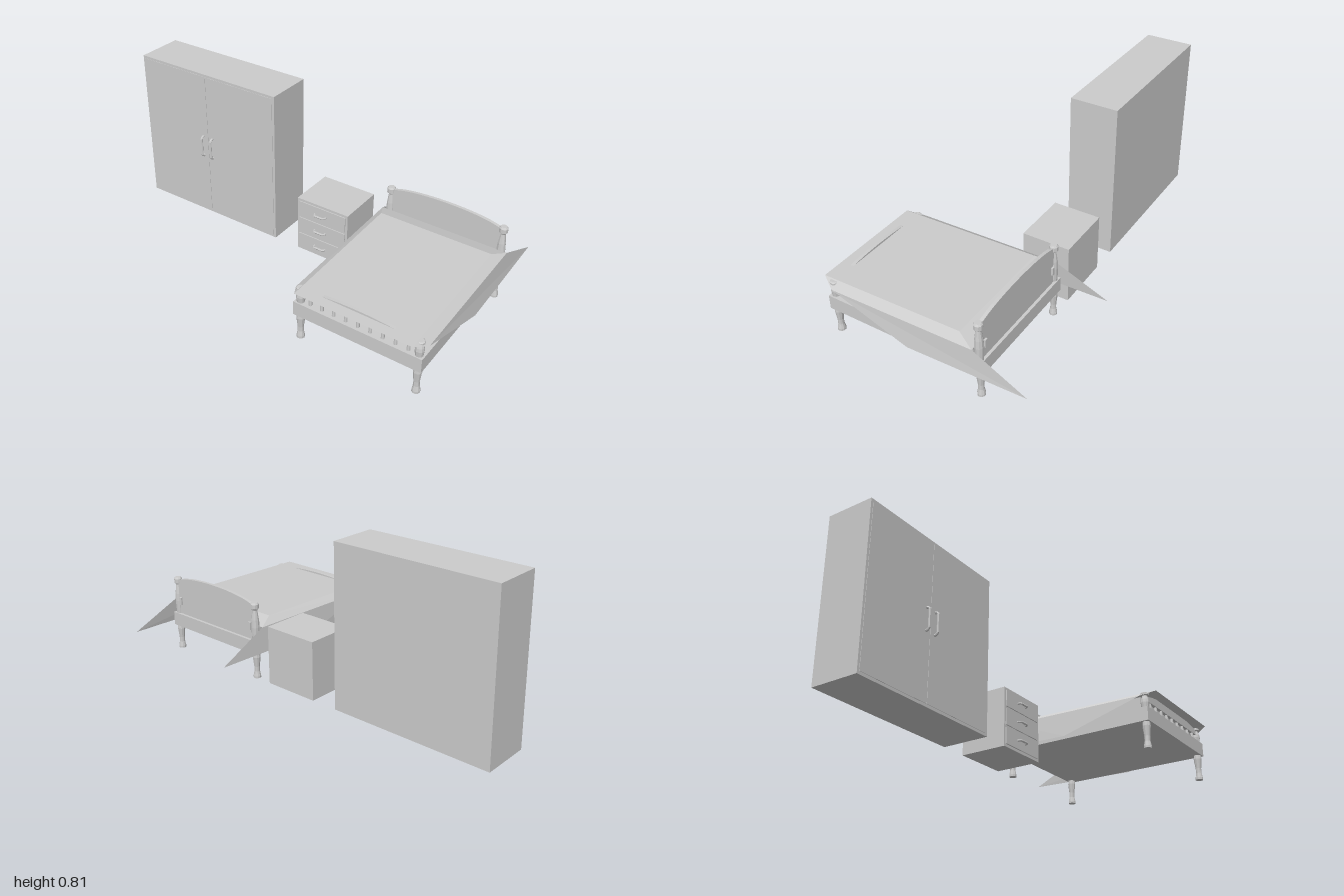
import * as THREE from 'three';

const material = new THREE.MeshStandardMaterial({ color: 0xcccccc, flatShading: true });
const cloth = new THREE.MeshStandardMaterial({ color: 0xcccccc, flatShading: true, side: THREE.DoubleSide });

function add(parent, name, geometry, x = 0, y = 0, z = 0, mat = material) {
  const mesh = new THREE.Mesh(geometry, mat);
  mesh.name = name;
  mesh.position.set(x, y, z);
  parent.add(mesh);
  return mesh;
}

// Box given by its minimum and maximum corners
function box(parent, name, [x0, y0, z0], [x1, y1, z1]) {
  return add(parent, name, new THREE.BoxGeometry(x1 - x0, y1 - y0, z1 - z0),
    (x0 + x1) / 2, (y0 + y1) / 2, (z0 + z1) / 2);
}

function group(parent, name) {
  const g = new THREE.Group();
  g.name = name;
  parent.add(g);
  return g;
}

// Bow handle standing out towards -x, with bevelled corners
function handle(parent, name, length, reach, radius, x, y, z, vertical) {
  const h = length / 2 - radius, c = reach * 0.45;
  const pts = [[0, -h], [-reach + c, -h], [-reach, -h + c], [-reach, h - c], [-reach + c, h], [0, h]];
  const path = new THREE.CurvePath();
  const v = pts.map(([px, s]) => new THREE.Vector3(px, vertical ? s : 0, vertical ? 0 : s));
  for (let i = 0; i < v.length - 1; i++) path.add(new THREE.LineCurve3(v[i], v[i + 1]));
  add(parent, name, new THREE.TubeGeometry(path, 40, radius, 6), x, y, z);
}

// Board in the y-z plane with an arched top edge
function archedBoard(halfWidth, bottom, edge, top, thickness) {
  const s = new THREE.Shape();
  s.moveTo(-halfWidth, bottom);
  s.lineTo(halfWidth, bottom);
  s.lineTo(halfWidth, edge);
  s.bezierCurveTo(halfWidth * 0.6, top + 0.002, -halfWidth * 0.6, top + 0.002, -halfWidth, edge);
  s.closePath();
  const g = new THREE.ExtrudeGeometry(s, { depth: thickness, bevelEnabled: false, curveSegments: 14 });
  g.translate(0, 0, -thickness / 2);
  return g.rotateY(-Math.PI / 2);
}

// Turned post: the leg is shared, the upper part scales to the given height
function post(height) {
  const t = (f) => 0.2 + (height - 0.2) * f;
  const profile = [
    [0, 0], [0.019, 0], [0.019, 0.01], [0.014, 0.035], [0.014, 0.06], [0.02, 0.11], [0.018, 0.13],
    [0.018, 0.2], [0.021, t(0.35)], [0.019, t(0.55)], [0.012, t(0.8)], [0.015, t(0.83)],
    [0.021, t(0.85)], [0.021, t(0.96)], [0.015, height], [0, height],
  ];
  return new THREE.LatheGeometry(profile.map(([r, y]) => new THREE.Vector2(r, y)), 10);
}

function blanketGeometry() {
  // Half outline at +z, mirrored to -z
  const half = [
    [-0.54, 0.28, 0.285], [0.18, 0.297, 0.285],                        // top edge: foot, head
    [-0.47, 0.255, 0.325], [0.265, 0.27, 0.325],                       // fold: foot, head
    [0.53, 0.15, 0.335], [-0.06, 0.135, 0.34],                         // hem of the hanging flap
  ];
  const pts = [...half, ...half.map(([x, y, z]) => [x, y, -z])];
  const quads = [[0, 1, 7, 6], [1, 3, 9, 7], [0, 2, 3, 1], [2, 5, 4, 3]];
  quads.push([8, 6, 7, 9], [11, 8, 9, 10]);
  const pos = [];
  for (const [a, b, c, d] of quads) for (const i of [a, b, c, a, c, d]) pos.push(...pts[i]);
  const g = new THREE.BufferGeometry();
  g.setAttribute('position', new THREE.Float32BufferAttribute(pos, 3));
  g.computeVertexNormals();
  return g;
}

function buildBed(parent) {
  const bed = group(parent, 'bed');
  bed.position.z = 0.655;
  const footX = -0.482, headX = 0.278;

  // Frame and mattress
  box(bed, 'bedFrame', [-0.505, 0.13, -0.315], [0.3, 0.2, 0.315]);
  box(bed, 'mattress', [-0.455, 0.2, -0.28], [0.24, 0.268, 0.28]);

  // Turned corner posts
  for (const s of [-1, 1]) {
    add(bed, 'headPost', post(0.395), headX, 0, s * 0.29);
    add(bed, 'footPost', post(0.278), footX, 0, s * 0.29);
    box(bed, 'headboardBracket', [0.272, 0.25, s * 0.262 - 0.008], [0.295, 0.29, s * 0.262 + 0.008]);
  }

  // Headboard, and footboard with spindles under an arched rail
  add(bed, 'headboard', archedBoard(0.28, 0.19, 0.382, 0.425, 0.016), headX);
  add(bed, 'footRail', archedBoard(0.28, 0.24, 0.26, 0.299, 0.016), footX);
  for (let i = 0; i < 9; i++) {
    add(bed, 'spindle', new THREE.CylinderGeometry(0.007, 0.009, 0.06, 8), footX, 0.22, -0.24 + i * 0.06);
  }

  // Blanket hanging over both sides
  add(bed, 'blanket', blanketGeometry(), 0, 0, 0, cloth);
}

function buildNightstand(parent) {
  const stand = group(parent, 'nightstand');
  box(stand, 'nightstandBody', [0.054, 0.005, -0.03], [0.295, 0.302, 0.26]);
  for (let i = 0; i < 3; i++) {
    const y = 0.06 + i * 0.094;
    box(stand, 'drawerFront', [0.049, y - 0.041, -0.018], [0.06, y + 0.041, 0.248]);
    handle(stand, 'drawerHandle', 0.072, 0.017, 0.005, 0.05, y, 0.107, false);
  }
}

function buildWardrobe(parent) {
  const wardrobe = group(parent, 'wardrobe');
  const mid = -0.59;
  box(wardrobe, 'wardrobeBody', [0.052, 0.006, -1], [0.295, 0.81, -0.167]);
  box(wardrobe, 'wardrobeDoor', [0.05, 0.02, -0.988], [0.06, 0.797, mid - 0.001]);
  box(wardrobe, 'wardrobeDoor', [0.05, 0.02, mid + 0.001], [0.06, 0.797, -0.18]);
  for (const s of [-1, 1]) {
    handle(wardrobe, 'doorHandle', 0.122, 0.02, 0.006, 0.052, 0.404, mid + s * 0.029, true);
  }
}

export function createModel() {
  const model = new THREE.Group();
  model.name = 'bedroomSet';
  buildBed(model);
  buildNightstand(model);
  buildWardrobe(model);
  return model;
}
